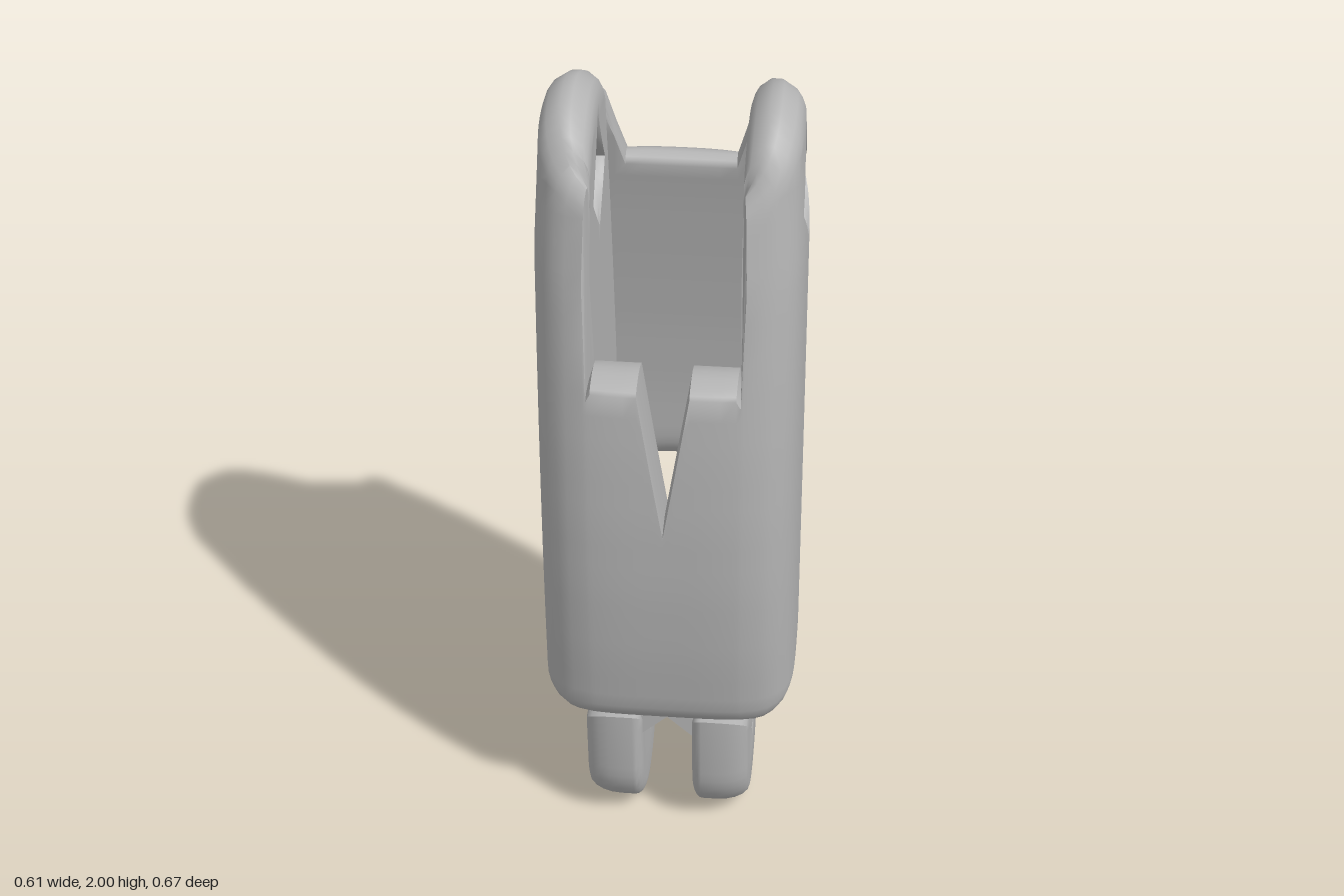
import * as THREE from 'three';
import { toCreasedNormals } from 'three/addons/utils/BufferGeometryUtils.js';

const lerp = THREE.MathUtils.lerp, clamp = THREE.MathUtils.clamp;

// Piecewise linear curve through [input, value] pairs
function curve(points, t) {
  if (t <= points[0][0]) return points[0][1];
  for (let i = 1; i < points.length; i++) {
    const [a, va] = points[i - 1], [b, vb] = points[i];
    if (t <= b) return lerp(va, vb, (t - a) / (b - a));
  }
  return points[points.length - 1][1];
}

// Side silhouette of the shell by height
const frontZ = y => curve([[0.36, 0.275], [0.6, 0.312], [0.8, 0.331], [1, 0.338], [1.2, 0.335], [1.4, 0.322], [1.6, 0.302], [1.84, 0.268], [2, 0.255]], y);
const backZ = y => curve([[0.8, -0.338], [1, -0.325], [1.2, -0.301], [1.4, -0.267], [1.6, -0.228], [1.72, -0.2], [1.84, -0.172], [2, -0.16]], y);
const widthScale = y => curve([[1.65, 1], [1.95, 0.95]], y);
const W = 0.305, MID = 0.05;

// Columns from front centre to back centre; s runs from 1 (front) to -1 (back)
const power = s => (s >= 0 ? 4.2 : 2.6);
const fromX = (x, sign) => ({ x, s: sign * Math.pow(1 - Math.pow(x / W, power(sign)), 1 / power(sign)) });
const fromS = s => ({ s, x: W * Math.pow(1 - Math.pow(Math.abs(s), power(s)), 1 / power(s)) });
const HOLE = 0.48;
const half = [
  ...[0, 0.015, 0.03, 0.045, 0.06, 0.09, 0.13, 0.165, 0.175, 0.182].map(x => fromX(x, 1)),
  ...[0.93, 0.88, 0.8, 0.7, 0.6, HOLE, 0.37, 0.25, 0.12, 0, -0.13, -0.23, -0.31, -0.39, -HOLE, -0.6, -0.7, -0.8].map(fromS),
  ...[0.18, 0.155, 0.13, 0.09, 0.045, 0].map(x => fromX(x, -1)),
];
const last = half.length - 1;
function column(k) {
  if (k < 0) return { s: half[-k].s, x: -half[-k].x };
  if (k > last) return { s: half[2 * last - k].s, x: -half[2 * last - k].x };
  return half[k];
}

// Upper and lower rims of the shell
function topEdge({ s, x }) {
  const a = Math.abs(x);
  if (s > 0.5 && a < 0.178) return Math.min(1.38, 1 + 0.38 * a / 0.06) - (a > 0.17 ? 0.02 : 0);
  if (s < -0.5 && a < 0.185) return curve([[0.13, 1.72], [0.18, 1.885]], a);
  return 1.79 + 0.21 * Math.sqrt(1 - s * s);
}
const bottomEdge = ({ s }) => curve([[-1, 0.78], [-0.8, 0.745], [-0.39, 0.71], [-0.23, 0.52], [-0.13, 0.43], [0.1, 0.41], [0.9, 0.35]], s);
const topRound = ({ x }) => (Math.abs(x) < 0.178 ? 0.025 : 0.06);

// Diamond pin hole in each lug, with softened edges
const holeSpan = s => 1 - Math.abs(s) / HOLE;
const holeLow = ({ s }) => 1.75 - 0.075 * holeSpan(s);
const holeHigh = ({ s }) => 1.75 + 0.135 * holeSpan(s);
const holeRound = ({ s }) => 0.04 * holeSpan(s);

// Point in the wall: t = 0 on the outside, t = 1 on the boxy cavity
function wallPoint(c, y, t) {
  const f = frontZ(y), b = backZ(y);
  const x = c.x * widthScale(y);
  const z = MID + c.s * (c.s > 0 ? f - MID : MID - b);
  const front = f - curve([[1.38, 0.14], [1.6, 0.05]], y);
  return [lerp(x, clamp(x, -0.168, 0.168), t), y, lerp(z, clamp(z, b + 0.075, front), t)];
}

// Shared row heights keep neighbouring columns level
const levels = Array.from({ length: 27 }, (_, j) => 0.4 + j * 0.06);
const rim = [[1, 0], [0.65, 0.05], [0.35, 0.14], [0, 0.4], [0, 0.6], [0.35, 0.86], [0.65, 0.95], [1, 1]];

// Closed wall strip lofted across a run of columns
function wallStrip(out, from, to, low, high, lowR, highR) {
  const loops = [];
  for (let k = from; k <= to; k++) {
    const c = column(k), lo = low(c), hi = high(c), rl = lowR(c), rh = highR(c);
    const rows = levels.map(y => clamp(y, lo + rl, hi - rh));
    loops.push([
      ...rows.map(y => wallPoint(c, y, 0)),
      ...rim.map(([d, t]) => wallPoint(c, hi - rh * d, t)),
      ...rows.reverse().map(y => wallPoint(c, y, 1)),
      ...rim.slice().reverse().map(([d, t]) => wallPoint(c, lo + rl * d, t)),
    ]);
  }
  for (let i = 0; i + 1 < loops.length; i++) {
    const p = loops[i], q = loops[i + 1], n = p.length;
    for (let j = 0; j < n; j++) {
      const m = (j + 1) % n;
      out.push(...p[j], ...q[j], ...q[m], ...p[j], ...q[m], ...p[m]);
    }
  }
}

function shellGeometry() {
  const out = [], lowR = () => 0.07;
  const a = half.findIndex(c => c.s === HOLE), b = half.findIndex(c => c.s === -HOLE);
  wallStrip(out, -a, a, bottomEdge, topEdge, lowR, topRound);
  wallStrip(out, b, 2 * last - b, bottomEdge, topEdge, lowR, topRound);
  for (const [from, to] of [[a, b], [2 * last - b, 2 * last - a]]) {
    wallStrip(out, from, to, bottomEdge, holeLow, lowR, holeRound);
    wallStrip(out, from, to, holeHigh, topEdge, holeRound, topRound);
  }
  const g = new THREE.BufferGeometry();
  g.setAttribute('position', new THREE.Float32BufferAttribute(out, 3));
  return toCreasedNormals(g, 0.7);
}

// Rounded hinge ear with a triangular pin hole, outlined in (z, y) and extruded along x
function knuckleGeometry(side) {
  const pts = [[-0.105, 0.37], [0.266, 0.37], [0.264, 0.32]];
  for (let i = 0; i <= 20; i++) {
    const t = -0.05 - i / 20 * (Math.PI - 0.1);
    pts.push([MID + 0.2 * Math.cos(t), 0.2 + 0.2 * Math.sin(t)]);
  }
  pts.push([-0.138, 0.28]);
  const shape = new THREE.Shape(pts.map(([z, y]) => new THREE.Vector2(-z, y))), cy = 0.195;
  shape.holes.push(new THREE.Path([[0.04, 0.02], [-0.04, 0.02], [0, -0.037]].map(([z, y]) => new THREE.Vector2(z - MID, y + cy))));
  const g = new THREE.ExtrudeGeometry(shape, { depth: 0.06, bevelEnabled: true, bevelThickness: 0.04, bevelSize: 0.04, bevelOffset: -0.04, bevelSegments: 5 });
  g.rotateY(Math.PI / 2).translate(side > 0 ? 0.1 : -0.16, 0, 0);
  const p = g.attributes.position;
  for (let i = 0; i < p.count; i++) {
    const x = Math.abs(p.getX(i)), dy = p.getY(i) - cy, dz = p.getZ(i) - MID;
    // flatter inner face, rounder outer face
    p.setX(i, side * curve([[0.06, 0.06], [0.1, 0.085], [0.16, 0.12], [0.2, 0.2]], x));
    // tighten the pin hole
    if (Math.hypot(dy, dz) < 0.15) p.setXYZ(i, p.getX(i), cy + dy * 0.5, MID + dz * 0.5);
  }
  return toCreasedNormals(g, 0.7);
}

// Solid neck inside the shell, notched underneath between the hinge ears
function neckGeometry() {
  const outline = [[-0.172, 0.32], [-0.06, 0.3], [0, 0.355], [0.06, 0.3], [0.172, 0.32], [0.172, 0.9], [-0.172, 0.9]];
  const shape = new THREE.Shape(outline.map(([x, y]) => new THREE.Vector2(x, y)));
  const g = new THREE.ExtrudeGeometry(shape, { depth: 1, bevelEnabled: false });
  const p = g.attributes.position;
  for (let i = 0; i < p.count; i++) {
    const back = p.getZ(i) < 0.5, top = p.getY(i) > 0.8;
    const y = top ? (back ? 0.57 : 0.74) : p.getY(i);
    p.setXYZ(i, p.getX(i), y, back ? -0.04 - (0.57 - y) * 0.29 : 0.235);
  }
  return toCreasedNormals(g, 0.4);
}

export function createModel() {
  const group = new THREE.Group();
  const grey = new THREE.MeshStandardMaterial({ color: 0xb4b4b4 });
  grey.name = 'plain grey';
  const add = (name, geometry) => {
    const mesh = new THREE.Mesh(geometry, grey);
    mesh.name = name;
    group.add(mesh);
  };
  add('shell', shellGeometry());
  add('neck', neckGeometry());
  add('leftKnuckle', knuckleGeometry(1));
  add('rightKnuckle', knuckleGeometry(-1));
  return group;
}
